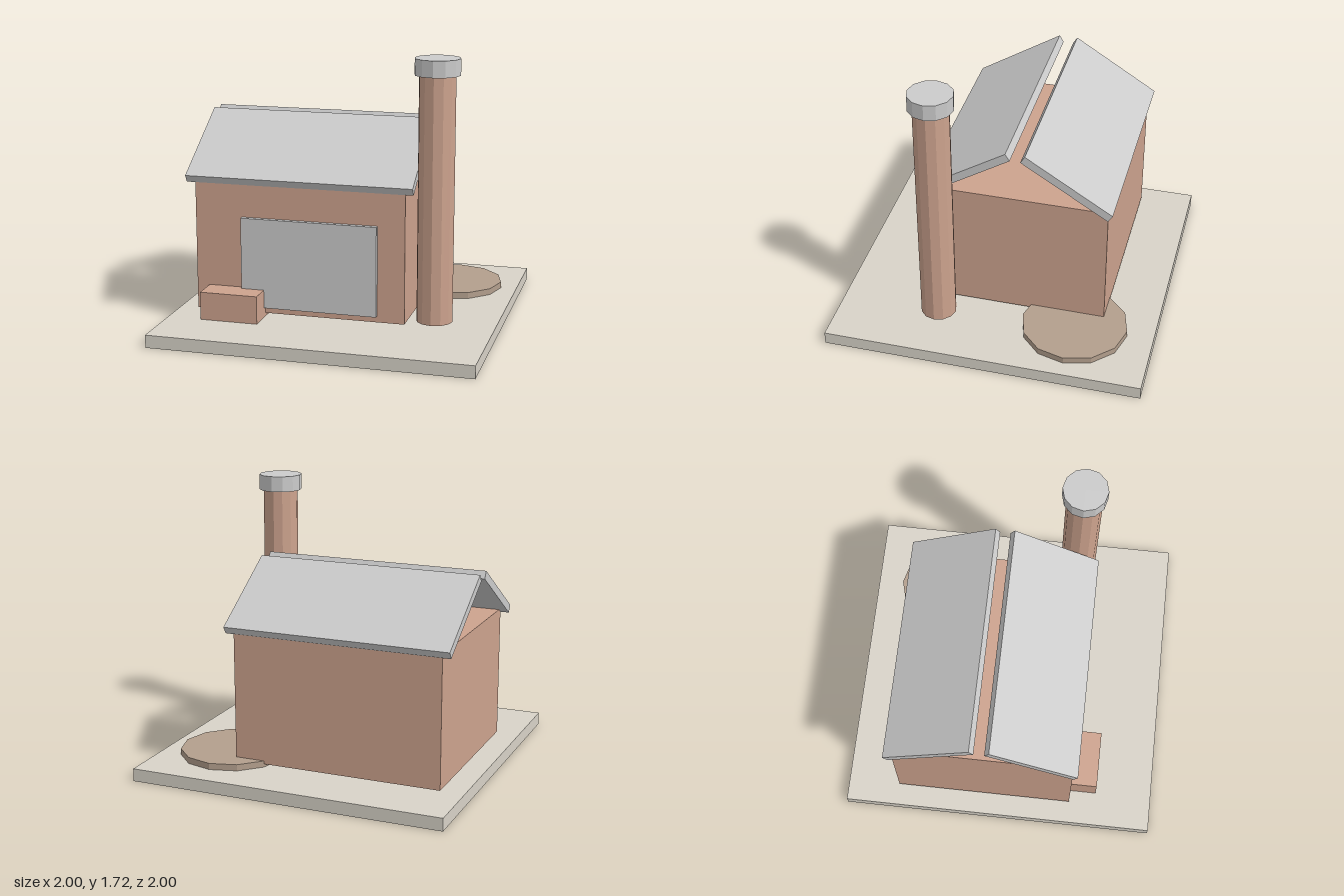
import * as THREE from 'three';

const material = (color) => new THREE.MeshStandardMaterial({ color, flatShading: true });

export function createModel() {
  const model = new THREE.Group();
  const grey = material(0xcccccc);
  const brick = material(0xcda38e);
  const stone = material(0xd8d3c8);
  const earth = material(0xb39f8d);

  const add = (name, geometry, mat, x, y, z) => {
    const mesh = new THREE.Mesh(geometry, mat);
    mesh.name = name;
    mesh.position.set(x, y, z);
    model.add(mesh);
    return mesh;
  };
  // Box given by its min and max corners
  const block = (name, mat, [x0, y0, z0], [x1, y1, z1]) =>
    add(name, new THREE.BoxGeometry(x1 - x0, y1 - y0, z1 - z0), mat,
      (x0 + x1) / 2, (y0 + y1) / 2, (z0 + z1) / 2);
  // Upright twelve-sided cylinder between two heights
  const drum = (name, mat, radius, y0, y1, x, z) =>
    add(name, new THREE.CylinderGeometry(radius, radius, y1 - y0, 12), mat, x, (y0 + y1) / 2, z);

  // Ground and building
  block('groundSlab', stone, [-1, 0, -1], [1, 0.08, 1]);
  block('walls', brick, [-0.865, 0.1, -0.665], [0.465, 0.93, 0.465]);
  block('largeDoor', grey, [-0.565, 0.14, 0.455], [0.295, 0.705, 0.495]);
  block('frontCrate', brick, [-0.785, 0.08, 0.37], [-0.42, 0.255, 0.635]);

  // Two sloping roof panels with an open ridge between them
  for (const side of [1, -1]) {
    const panel = add(side > 0 ? 'frontRoofPanel' : 'backRoofPanel',
      new THREE.BoxGeometry(1.435, 0.052, 0.634), grey, -0.2025, 1.098, -0.103 + side * 0.315);
    panel.rotation.x = side * 0.558;
  }

  // Chimney and round yard patch
  drum('chimneyStack', brick, 0.112, 0.11, 1.62, 0.63, 0.365);
  drum('chimneyCap', grey, 0.139, 1.62, 1.72, 0.63, 0.365);
  drum('yardPatch', earth, 0.333, 0.08, 0.12, 0.565, -0.5);

  return model;
}
